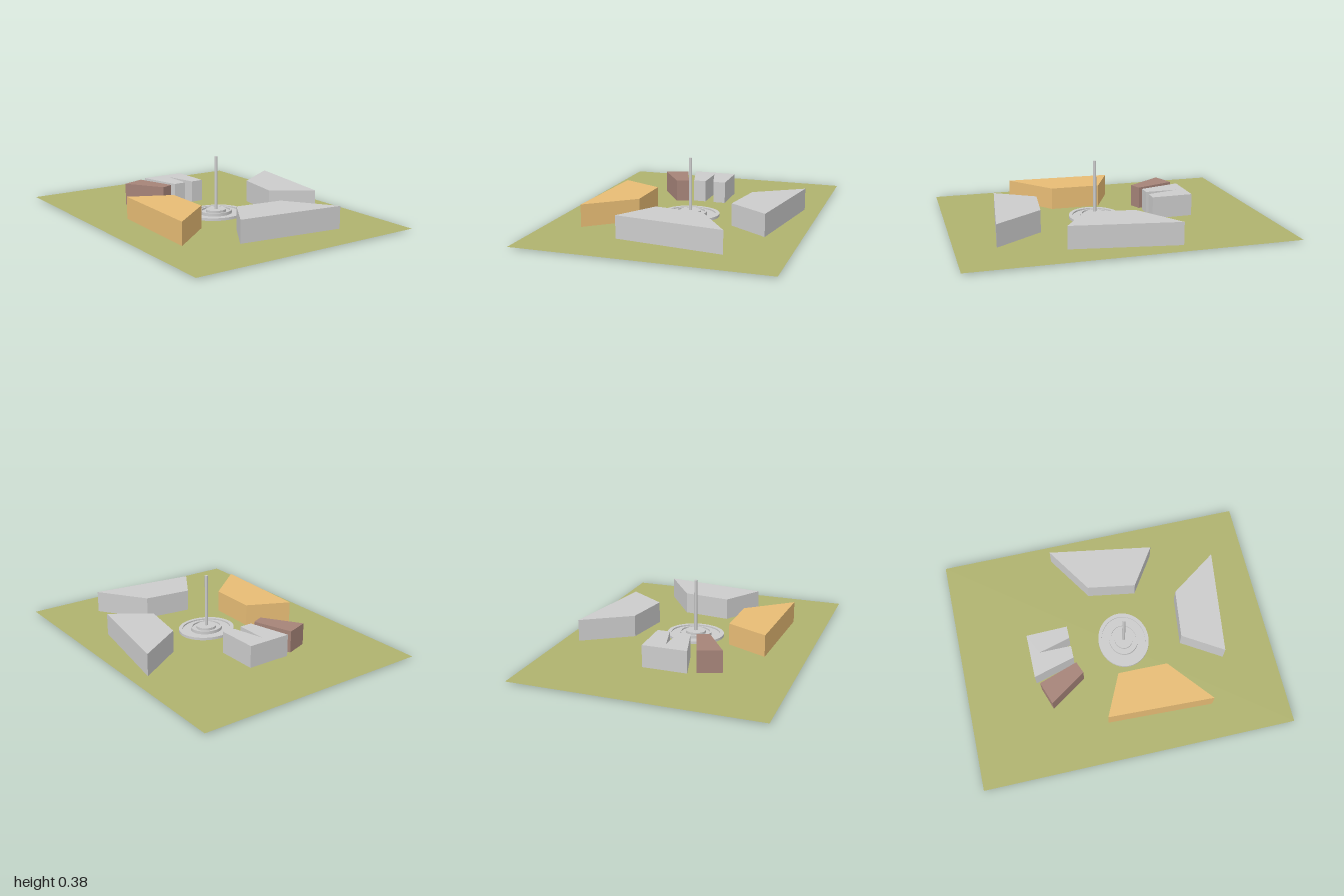
import * as THREE from 'three';
import { toCreasedNormals } from 'three/addons/utils/BufferGeometryUtils.js';

const GROUND_Y = 0.008;
const ROOF_Y = 0.148;

const material = (color = 0xcccccc, extra = {}) =>
  new THREE.MeshStandardMaterial({ color, ...extra });

// Upright block raised from a plan outline given as [x, z] corners.
function block(name, plan, color) {
  const shape = new THREE.Shape(plan.map(([x, z]) => new THREE.Vector2(x, -z)));
  const geometry = new THREE.ExtrudeGeometry(shape, { depth: ROOF_Y, bevelEnabled: false });
  geometry.rotateX(-Math.PI / 2);
  const mesh = new THREE.Mesh(geometry, material(color));
  mesh.name = name;
  return mesh;
}

export function createModel() {
  const model = new THREE.Group();
  model.name = 'plazaSitePlan';

  // Flat lawn, visible from both sides
  const lawn = new THREE.Mesh(
    new THREE.PlaneGeometry(1.54, 2).rotateX(-Math.PI / 2),
    material(0xafb26e, { side: THREE.DoubleSide })
  );
  lawn.name = 'lawn';
  lawn.position.y = GROUND_Y;
  model.add(lawn);

  // Buildings around the plaza
  model.add(
    block('rightBuilding', [[-0.52, -0.155], [-0.255, -0.03], [-0.26, 0.285], [-0.545, 0.52]], 0xe7bc75),
    block('frontBuilding', [[-0.10, 0.42], [0.205, 0.457], [0.415, 0.757], [-0.255, 0.67]]),
    block('leftBuilding', [[0.665, -0.29], [0.36, -0.095], [0.31, 0.21], [0.555, 0.375]]),
    block('smallBackBuilding', [[-0.355, -0.475], [-0.21, -0.525], [-0.125, -0.275], [-0.2, -0.245]], 0xa58378),
    block('notchedBackBuilding', [
      [-0.163, -0.55], [0.12, -0.55], [0.125, -0.285], [0.045, -0.285],
      [-0.01, -0.49], [-0.01, -0.285], [-0.09, -0.285]
    ])
  );

  // Slightly oval fountain with nested basins
  const fountain = new THREE.Group();
  fountain.name = 'fountain';
  fountain.position.z = 0.063;

  const profile = [
    [0, 0], [0.185, 0], [0.185, 0.025], [0.16, 0.025], [0.16, 0.016],
    [0.105, 0.016], [0.105, 0.036], [0.093, 0.036], [0.093, 0.026],
    [0.066, 0.026], [0.066, 0.042], [0, 0.042]
  ].map(([r, y]) => new THREE.Vector2(r, y));
  const basinGeometry = new THREE.LatheGeometry(profile, 48).scale(1, 1, 0.89);
  const basin = new THREE.Mesh(toCreasedNormals(basinGeometry, 0.6), material());
  basin.name = 'basin';

  // Central column
  const column = new THREE.Mesh(new THREE.CylinderGeometry(0.01, 0.01, 0.36, 20), material());
  column.name = 'column';
  column.position.y = 0.2;
  fountain.add(basin, column);
  model.add(fountain);

  return model;
}
